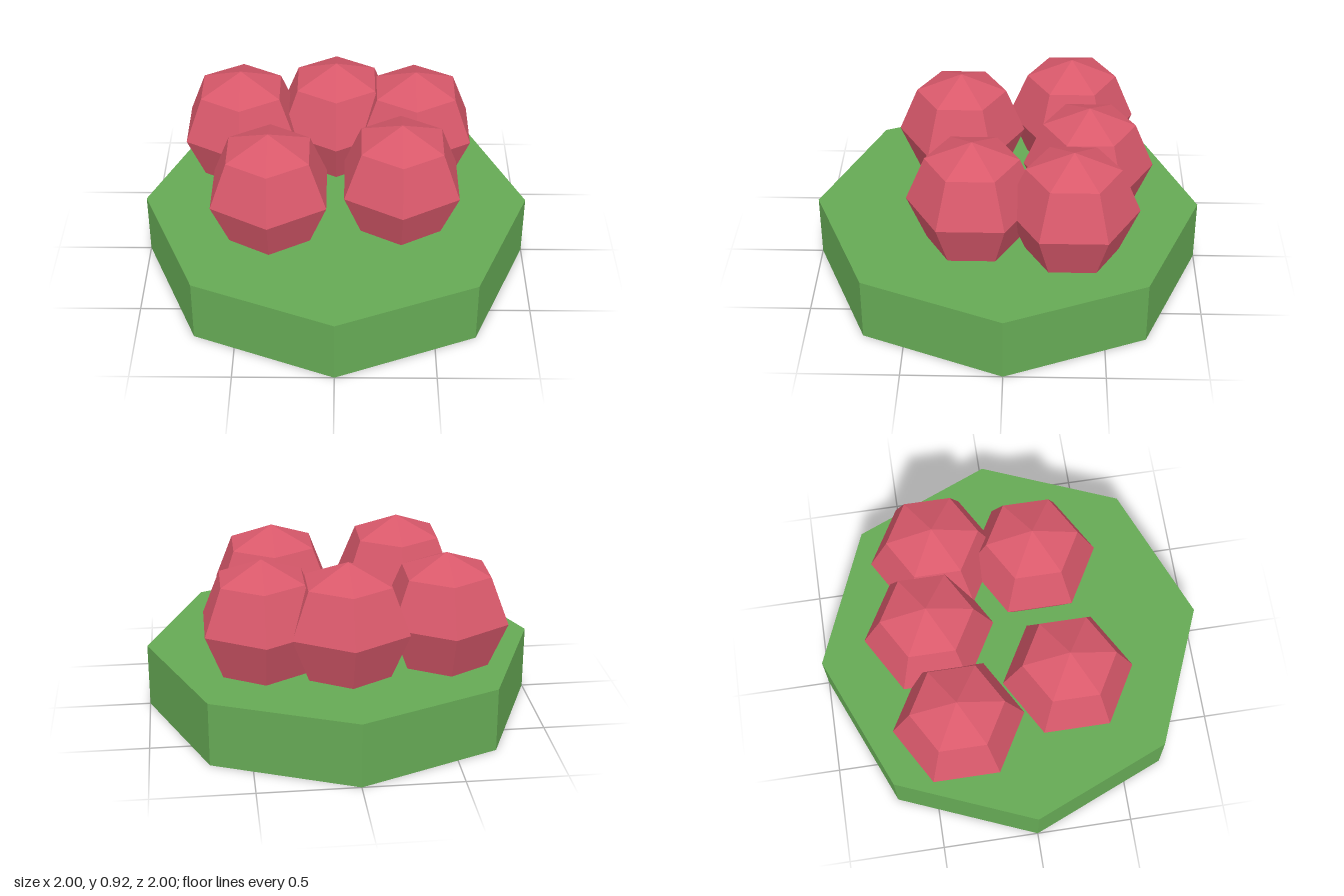
import * as THREE from 'three';

export function createModel() {
  const model = new THREE.Group();
  model.name = 'berriesOnLeafBase';

  const green = new THREE.MeshStandardMaterial({ color: 0x66aa55, flatShading: true });
  const red = new THREE.MeshStandardMaterial({ color: 0xd9596b, flatShading: true });

  // Octagonal base
  const baseHeight = 1 / 3;
  const base = new THREE.Mesh(new THREE.CylinderGeometry(1, 1, baseHeight, 8), green);
  base.name = 'base';
  base.position.y = baseHeight / 2;
  model.add(base);

  // Six-sided berries, slightly sunk into the base, with corners pointing along z
  const berryGeometry = new THREE.SphereGeometry(1 / 3, 6, 4).rotateY(Math.PI / 2);
  const berries = new THREE.Group();
  berries.name = 'berries';
  const spots = [[-0.5, -0.333], [0, -0.417], [0.417, -0.333], [-0.333, 0.25], [0.333, 0.167]];
  spots.forEach(([x, z], i) => {
    const berry = new THREE.Mesh(berryGeometry, red);
    berry.name = `berry${i + 1}`;
    berry.position.set(x, 0.583, z);
    berries.add(berry);
  });
  model.add(berries);

  return model;
}
